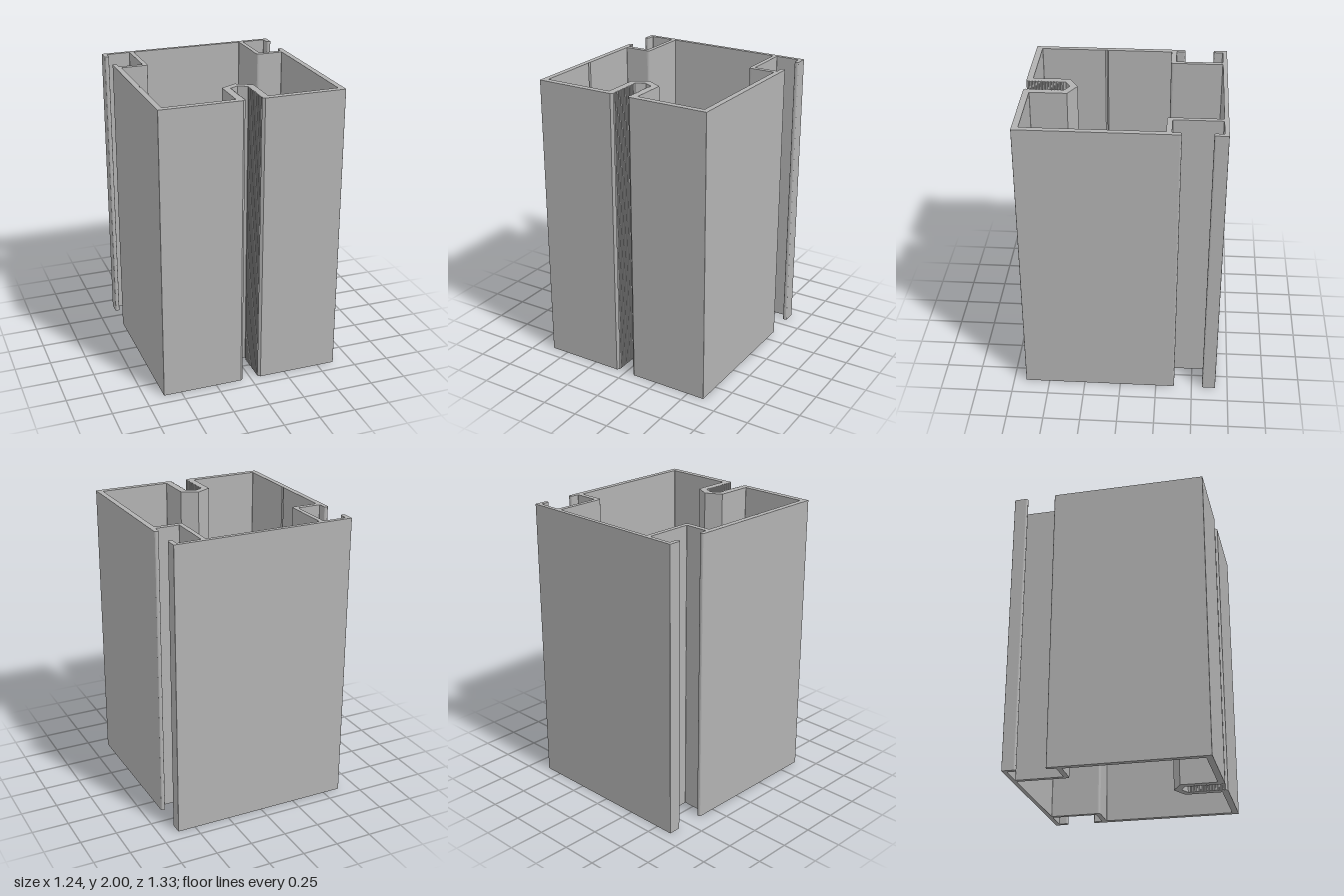
import * as THREE from 'three';

// Profile points are [x, z, optional corner radius]; a path's y axis is -z.
function trace(path, points) {
  const n = points.length;
  const vec = (p) => new THREE.Vector2(p[0], -p[1]);
  points.forEach((p, i) => {
    const c = vec(p), r = p[2] || 0;
    let start = c, end = c;
    if (r) {
      const toward = (q) => vec(q).sub(c).setLength(r).add(c);
      start = toward(points[(i + n - 1) % n]);
      end = toward(points[(i + 1) % n]);
    }
    if (i === 0) path.moveTo(start.x, start.y);
    else path.lineTo(start.x, start.y);
    if (r) path.quadraticCurveTo(c.x, c.y, end.x, end.y);
  });
  path.closePath();
  return path;
}

// Completes a right-hand half by mirroring it across x = 0.
const mirror = (half) => half.slice().reverse().map(([x, z, r]) => [-x, z, r]);

export function createModel() {
  const group = new THREE.Group();
  const aluminium = new THREE.MeshStandardMaterial({ color: 0xb2b2b2 });
  aluminium.name = 'aluminium grey';

  // Serrated wall of the front screw channel
  const teeth = [];
  for (let i = 0; i < 11; i++) {
    const z = 0.425 + i * 0.0205;
    teeth.push([0.055, z], [0.055, z + 0.009], [0.061, z + 0.0125], [0.061, z + 0.017]);
  }

  // Right half of the outside: channel, front, side, open slot, back
  const outerHalf = [
    [0.061, 0.402], [0.061, 0.417], ...teeth, [0.055, 0.65], [0.072, 0.665],
    [0.622, 0.665, 0.004],
    [0.622, -0.378, 0.014], [0.591, -0.378, 0.014],
    [0.591, -0.317, 0.004], [0.428, -0.317, 0.006],
    [0.428, -0.636, 0.006], [0.591, -0.636, 0.006],
    [0.591, -0.573, 0.014], [0.622, -0.573, 0.014],
    [0.622, -0.665, 0.004],
  ];
  const profile = trace(new THREE.Shape(), [[0, 0.368], ...outerHalf, ...mirror(outerHalf)]);

  // Hollow core, with a small marking groove in the left-hand wall
  const innerHalf = [
    [0.107, 0.376], [0.107, 0.623, 0.004], [0.584, 0.623, 0.006],
    [0.584, -0.282, 0.006], [0.397, -0.282, 0.02], [0.397, -0.636, 0.006],
  ];
  const groove = [[-0.584, 0.162], [-0.593, 0.172], [-0.584, 0.182]];
  const left = mirror(innerHalf);
  left.splice(3, 0, ...groove);
  profile.holes.push(trace(new THREE.Path(), [[0, 0.317], ...innerHalf, ...left]));

  // Extrude upwards
  const geometry = new THREE.ExtrudeGeometry(profile, { depth: 2, bevelEnabled: false, curveSegments: 5 });
  geometry.rotateX(-Math.PI / 2);
  const mesh = new THREE.Mesh(geometry, aluminium);
  mesh.name = 'extrudedProfile';
  group.add(mesh);
  return group;
}
